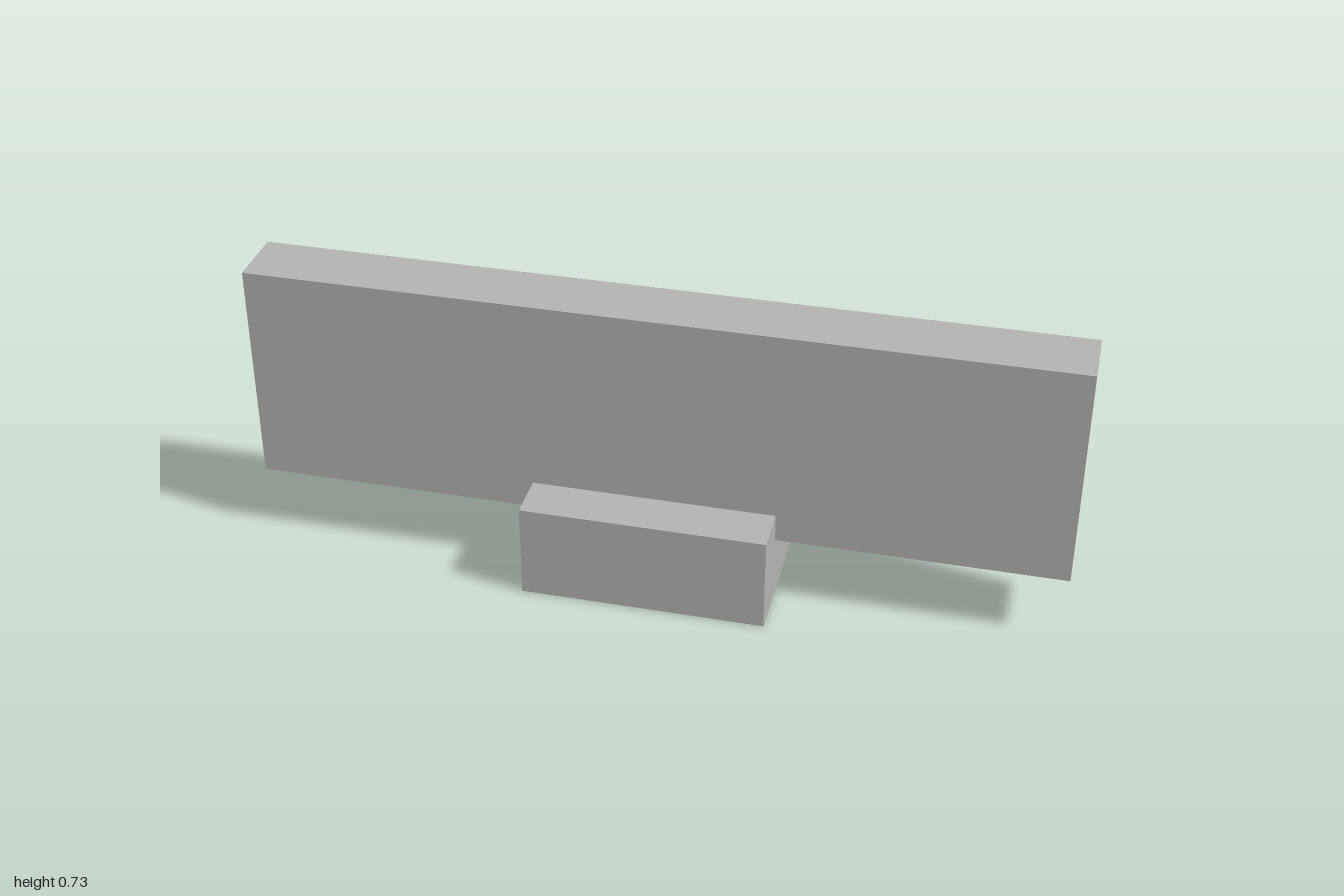
import * as THREE from 'three';

export function createModel() {
  const model = new THREE.Group();
  const grey = new THREE.MeshStandardMaterial({ color: 0xb2b2b2 });
  grey.name = 'grey';

  // Adds a box given its extents along each axis
  function addBox(name, [x0, x1], [y0, y1], [z0, z1]) {
    const mesh = new THREE.Mesh(new THREE.BoxGeometry(x1 - x0, y1 - y0, z1 - z0), grey);
    mesh.position.set((x0 + x1) / 2, (y0 + y1) / 2, (z0 + z1) / 2);
    mesh.name = name;
    model.add(mesh);
  }

  // Foot block that the panel is sunk into
  addBox('base', [-0.3, 0.3], [0, 0.24], [-0.2, 0.2]);
  // Wide upright slab
  addBox('panel', [-1, 1], [0.17, 0.73], [-0.08, 0.08]);
  // Raised plate on the back of the slab
  addBox('backPlate', [-0.9, 0.9], [0.24, 0.66], [-0.1, -0.08]);

  return model;
}
